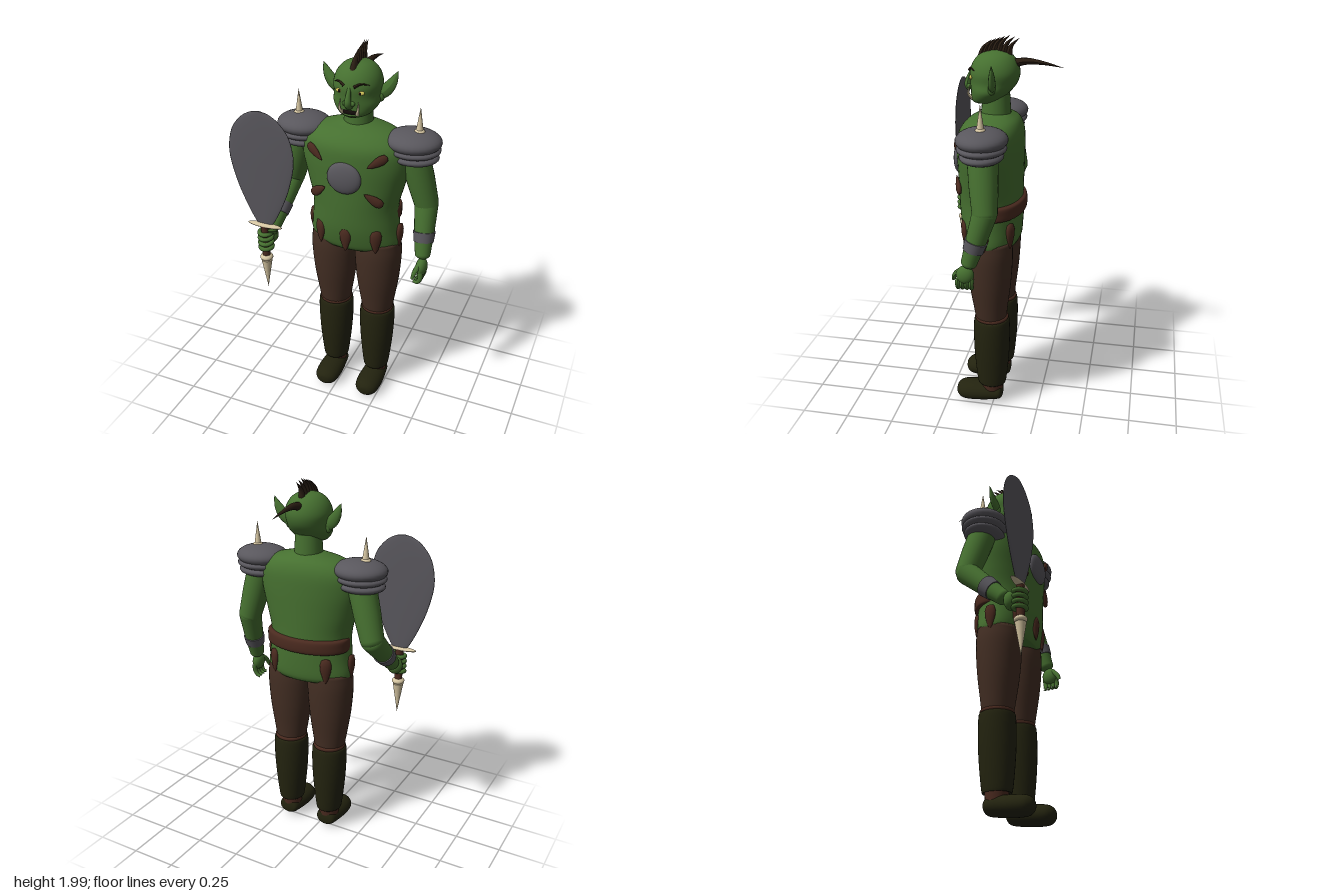
import * as THREE from 'three';

const mat = (name, color, side = THREE.FrontSide) => {
  const m = new THREE.MeshStandardMaterial({ color, side });
  m.name = name;
  return m;
};
const V = (x, y, z) => new THREE.Vector3(x, y, z);

// Smooth closed skin through elliptical rows [y, halfWidth, zCentre, halfDepth, xCentre]
function loft(rows, seg = 32, steps = 5) {
  const size = new THREE.CatmullRomCurve3(rows.map(r => V(r[1], r[0], r[3])), false, 'catmullrom', 0.5);
  const mid = new THREE.CatmullRomCurve3(rows.map(r => V(r[4] || 0, 0, r[2])), false, 'catmullrom', 0.5);
  const n = (rows.length - 1) * steps, pos = [], idx = [];
  for (let i = 0; i <= n; i++) {
    const s = size.getPoint(i / n), c = mid.getPoint(i / n);
    for (let j = 0; j < seg; j++) {
      const a = j / seg * Math.PI * 2;
      pos.push(c.x + s.x * Math.sin(a), s.y, c.z + s.z * Math.cos(a));
      const k = (j + 1) % seg, p = i * seg, q = p + seg;
      if (i < n) idx.push(p + j, p + k, q + k, p + j, q + k, q + j);
    }
  }
  const base = (n + 1) * seg;
  for (const r of [rows[0], rows[rows.length - 1]]) pos.push(r[4] || 0, r[0], r[2]);
  for (let j = 0; j < seg; j++) {
    const k = (j + 1) % seg, q = n * seg;
    idx.push(base, k, j, base + 1, q + j, q + k);
  }
  const g = new THREE.BufferGeometry();
  g.setAttribute('position', new THREE.Float32BufferAttribute(pos, 3));
  g.setIndex(idx);
  g.computeVertexNormals();
  return g;
}

// Curved tube whose radius follows a rule of t
function taper(points, radius, rule = t => 1 - t, seg = 10) {
  const curve = new THREE.CatmullRomCurve3(points), n = 14;
  const g = new THREE.TubeGeometry(curve, n, radius, seg), p = g.attributes.position, v = V();
  for (let i = 0; i < p.count; i++) {
    const t = Math.floor(i / (seg + 1)) / n, c = curve.getPointAt(t);
    v.fromBufferAttribute(p, i).sub(c).multiplyScalar(Math.max(rule(t), 0.01)).add(c);
    p.setXYZ(i, v.x, v.y, v.z);
  }
  g.computeVertexNormals();
  return g;
}

// Round-ended limb from a to b
function limb(a, b, r0, r1) {
  const len = a.distanceTo(b), pts = [];
  for (let i = 0; i <= 6; i++) pts.push(new THREE.Vector2(r0 * Math.sin(i * Math.PI / 12), -0.7 * r0 * Math.cos(i * Math.PI / 12)));
  pts.push(new THREE.Vector2((r0 + r1) * 0.52, len / 2));
  for (let i = 6; i >= 0; i--) pts.push(new THREE.Vector2(r1 * Math.sin(i * Math.PI / 12), len + 0.7 * r1 * Math.cos(i * Math.PI / 12)));
  const g = new THREE.LatheGeometry(pts, 24);
  g.applyQuaternion(new THREE.Quaternion().setFromUnitVectors(V(0, 1, 0), b.clone().sub(a).normalize()));
  return g.translate(a.x, a.y, a.z);
}

const ball = (x, y, z, rx, ry, rz) => new THREE.SphereGeometry(1, 28, 18).scale(rx, ry, rz).translate(x, y, z);

export function createModel() {
  const skin = mat('green skin', 0x467030), pants = mat('brown cloth', 0x432e23), leather = mat('leather', 0x4a2a1f);
  const boot = mat('dark boots', 0x23230f), iron = mat('iron', 0x59575d), ivory = mat('ivory', 0xd6c6a2);
  const hair = mat('dark hair', 0x2a1e13), eye = mat('yellow eye', 0xd2c45a), black = mat('black', 0x140c0a);
  const root = new THREE.Group(), body = new THREE.Group();
  body.name = 'warrior';
  body.position.x = 0.071;
  root.add(body);
  const add = (name, g, m) => {
    const mesh = new THREE.Mesh(g, m);
    mesh.name = name;
    body.add(mesh);
    return mesh;
  };

  // Torso, belt and neck
  add('torso', loft([[0.95, 0.225, 0.018, 0.13], [0.985, 0.246, 0.02, 0.145], [1.08, 0.236, 0.028, 0.158], [1.2, 0.23, 0.032, 0.162],
    [1.32, 0.258, 0.032, 0.164], [1.44, 0.284, 0.032, 0.166], [1.53, 0.278, 0.03, 0.16], [1.585, 0.215, 0.02, 0.13],
    [1.615, 0.12, 0.01, 0.085], [1.63, 0.06, 0.01, 0.06]], 48), skin);
  add('belt', loft([[1.115, 0.22, 0, 0.13], [1.125, 0.235, 0, 0.146], [1.155, 0.236, 0, 0.15], [1.185, 0.234, 0, 0.146], [1.195, 0.22, 0, 0.13]], 48), leather);
  add('neck', new THREE.CylinderGeometry(0.068, 0.078, 0.16, 28).translate(0, 1.64, 0.008), skin);
  add('chestDisc', ball(0, 1.385, 0.195, 0.09, 0.085, 0.028), iron);

  // Leather leaves pointing at the chest disc, and tabs round the hips
  const leaf = new THREE.LatheGeometry([[0.001, -0.075], [0.014, -0.052], [0.028, -0.005], [0.031, 0.03], [0.022, 0.058], [0.001, 0.066]]
    .map(p => new THREE.Vector2(...p)), 16).scale(1, 1, 0.55);
  for (const s of [1, -1]) {
    for (const [x, y, z] of [[0.165, 1.49, 0.172], [0.15, 1.28, 0.172]]) {
      const m = add('chestLeaf', leaf, leather);
      m.position.set(s * x, y, z);
      m.rotation.set(0, s * 0.38, Math.atan2(-s * x, y - 1.385));
      m.scale.setScalar(0.82);
    }
  }
  for (const deg of [0, 39, -39, 88, -88, 140, -140]) {
    const a = deg * Math.PI / 180, m = add('hipTab', leaf, leather);
    m.position.set(0.243 * Math.sin(a), 1.03, 0.024 + 0.153 * Math.cos(a));
    m.rotation.y = Math.atan2(Math.sin(a) / 0.243, Math.cos(a) / 0.153);
  }

  // Head with jaw
  add('head', loft([[1.668, 0.03, 0.075, 0.035], [1.685, 0.078, 0.058, 0.07], [1.73, 0.114, 0.034, 0.097], [1.775, 0.115, 0.018, 0.116],
    [1.825, 0.12, 0.013, 0.123], [1.875, 0.103, 0.011, 0.106], [1.912, 0.066, 0.009, 0.07], [1.932, 0.005, 0.008, 0.005]], 36), skin);
  add('nose', taper([V(0, 1.83, 0.128), V(0, 1.785, 0.145), V(0, 1.752, 0.148), V(0, 1.738, 0.13)], 0.02, t => 0.35 + 0.75 * t), skin);
  add('mouth', ball(0, 1.703, 0.121, 0.042, 0.015, 0.014), black);
  add('lowerLip', ball(0, 1.688, 0.122, 0.034, 0.008, 0.012), skin);
  for (const s of [1, -1]) {
    add('nostril', ball(s * 0.018, 1.75, 0.138, 0.014, 0.012, 0.014), skin);
    add('eye', ball(s * 0.055, 1.803, 0.12, 0.018, 0.011, 0.009), eye);
    add('pupil', ball(s * 0.053, 1.803, 0.1275, 0.006, 0.007, 0.003), black);
    add('brow', taper([V(s * 0.024, 1.832, 0.134), V(s * 0.055, 1.847, 0.121), V(s * 0.088, 1.838, 0.096)], 0.008, t => 1 - 0.8 * t), hair);
    add('tusk', taper([V(s * 0.036, 1.695, 0.118), V(s * 0.047, 1.72, 0.137), V(s * 0.046, 1.768, 0.128)], 0.01), ivory);
    // Ear: a flattened curved point with an inner fold
    const ear = taper([V(s * 0.1, 1.765, 0.012), V(s * 0.135, 1.79, 0.004), V(s * 0.165, 1.83, -0.004), V(s * 0.191, 1.888, -0.01)],
      0.036, t => 0.75 + 0.9 * t - 1.65 * t * t);
    add('ear', ear.scale(1, 1, 0.55), skin);
    add('earLobe', ball(s * 0.114, 1.76, 0.008, 0.018, 0.028, 0.018), skin);
  }

  // Crest spikes and swept-back tail of hair
  for (let i = 0; i < 7; i++) {
    const a = 0.72 - i * 0.21, z = 0.008 + 0.115 * Math.sin(a), y = 1.805 + 0.118 * Math.cos(a);
    const tip = V(0, Math.min(y + 0.085, 2.0 - Math.abs(i - 4) * 0.006), z - 0.055);
    add('crestSpike', taper([V(0, y - 0.01, z), V(0, (y + tip.y) / 2, z - 0.014), tip], 0.02), hair);
  }
  add('hairTail', taper([V(0, 1.865, -0.07), V(0, 1.878, -0.14), V(0, 1.872, -0.22), V(0, 1.852, -0.322)], 0.023), hair);

  for (const s of [1, -1]) {
    // Shoulder guard of three stacked plates with a spike
    add('shoulderTop', ball(s * 0.289, 1.563, 0.02, 0.141, 0.057, 0.125), iron);
    add('shoulderMiddle', ball(s * 0.293, 1.524, 0.02, 0.134, 0.037, 0.12), iron);
    add('shoulderLower', ball(s * 0.295, 1.486, 0.02, 0.126, 0.036, 0.106), iron);
    add('shoulderSpike', new THREE.ConeGeometry(0.02, 0.13, 16).translate(s * 0.317, 1.675, 0.02), ivory);
    add('spikeBase', ball(s * 0.317, 1.614, 0.02, 0.027, 0.016, 0.025), ivory);
    // Leg, boot and foot
    const x = s * 0.124;
    add('thigh', loft([[0.52, 0.08, 0.012, 0.08, x], [0.6, 0.094, 0.015, 0.09, x], [0.75, 0.116, 0.018, 0.11, x],
      [0.9, 0.126, 0.02, 0.12, x], [0.99, 0.118, 0.02, 0.115, x]]), pants);
    add('kneeBand', new THREE.TorusGeometry(0.078, 0.012, 8, 28).rotateX(Math.PI / 2).translate(x, 0.541, 0.01), leather);
    add('boot', loft([[0.135, 0.062, 0.01, 0.066, x], [0.145, 0.071, 0.01, 0.078, x], [0.3, 0.088, 0.01, 0.093, x],
      [0.43, 0.096, 0.01, 0.097, x], [0.52, 0.095, 0.01, 0.094, x], [0.535, 0.085, 0.01, 0.085, x]]), boot);
    add('ankle', new THREE.CylinderGeometry(0.062, 0.056, 0.07, 24).translate(x, 0.12, 0.008), leather);
    const foot = loft([[-0.05, 0.02, 0, 0.015], [-0.04, 0.052, 0, 0.04], [0, 0.062, 0, 0.05], [0.1, 0.07, 0, 0.055],
      [0.17, 0.062, 0, 0.05], [0.2, 0.035, 0, 0.03], [0.207, 0.006, 0, 0.005]]);
    add('foot', foot.rotateX(Math.PI / 2).rotateX(0.06).translate(x, 0.07, 0), boot);
  }

  // Arms: left hangs, right reaches forward
  const cuffed = (side, shoulder, elbow, wrist) => {
    add(side + 'UpperArm', limb(shoulder, elbow, 0.074, 0.062), skin);
    add(side + 'Forearm', limb(elbow, wrist, 0.061, 0.04), skin);
    const a = elbow.clone().lerp(wrist, 0.55), b = elbow.clone().lerp(wrist, 0.75);
    const g = new THREE.CylinderGeometry(0.051, 0.057, a.distanceTo(b), 24);
    g.applyQuaternion(new THREE.Quaternion().setFromUnitVectors(V(0, 1, 0), b.clone().sub(a).normalize()));
    a.lerp(b, 0.5);
    add(side + 'Cuff', g.translate(a.x, a.y, a.z), iron);
  };
  cuffed('left', V(0.3, 1.48, 0.015), V(0.364, 1.225, -0.008), V(0.382, 0.97, 0.068));
  cuffed('right', V(-0.305, 1.48, 0.01), V(-0.388, 1.225, -0.03), V(-0.405, 1.025, 0.185));

  // Left hand, fingers half curled
  const finger = t => 1 - 0.45 * t * t;
  add('leftPalm', ball(0.386, 0.905, 0.088, 0.03, 0.048, 0.045), skin);
  for (let i = 0; i < 4; i++) {
    const z = 0.055 + i * 0.022;
    add('leftFinger', taper([V(0.39, 0.89, z), V(0.392, 0.855, z + 0.003), V(0.378, 0.83, z + 0.004), V(0.356, 0.822 + i * 0.003, z + 0.003)], 0.014, finger), skin);
  }
  add('leftThumb', taper([V(0.378, 0.925, 0.11), V(0.366, 0.895, 0.142), V(0.358, 0.862, 0.155)], 0.015, finger), skin);

  // Right fist closed round the grip
  const gx = -0.406, gz = 0.28;
  add('rightPalm', ball(gx + 0.002, 0.995, 0.228, 0.043, 0.05, 0.035), skin);
  for (let i = 0; i < 4; i++)
    add('rightFinger', new THREE.TorusGeometry(0.032, 0.0115, 10, 24).rotateX(Math.PI / 2 + 0.1).translate(gx, 0.945 + i * 0.029, gz - 0.003), skin);
  add('rightThumb', taper([V(gx + 0.03, 1.015, 0.235), V(gx + 0.04, 1.04, 0.265), V(gx + 0.022, 1.052, 0.3)], 0.014, finger), skin);

  // Paddle-shaped blade, guard, grip and pommel
  const blade = [[1.075, 0.03], [1.1, 0.055], [1.2, 0.105], [1.32, 0.15], [1.46, 0.178], [1.58, 0.158], [1.655, 0.105], [1.69, 0.05], [1.7, 0.004]];
  add('blade', loft(blade.map(([y, w]) => [y, w, gz - 0.003, 0.004 + w * 0.035, gx])), iron);
  add('guard', ball(gx, 1.074, gz, 0.097, 0.011, 0.021), ivory);
  add('grip', new THREE.CylinderGeometry(0.021, 0.021, 0.19, 20).translate(gx, 0.98, gz), leather);
  add('pommel', ball(gx, 0.882, gz, 0.034, 0.02, 0.034), ivory);
  add('pommelSpike', new THREE.ConeGeometry(0.029, 0.175, 20).rotateX(Math.PI).translate(gx, 0.778, gz), ivory);

  return root;
}
